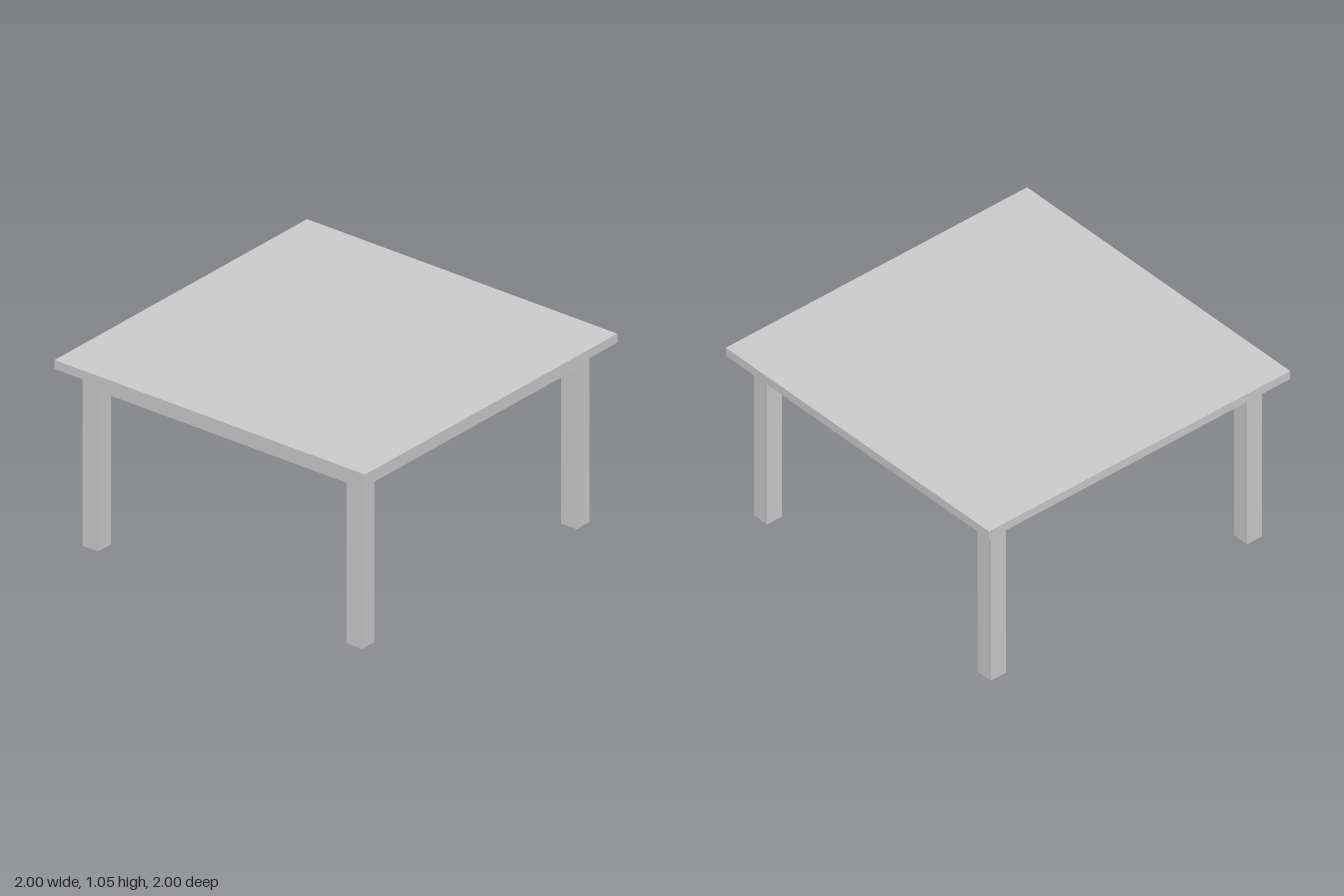
import * as THREE from 'three';

export function createModel() {
  const group = new THREE.Group();
  const material = new THREE.MeshStandardMaterial({ color: 0xcccccc, flatShading: true });

  const box = (name, size, position) => {
    const mesh = new THREE.Mesh(new THREE.BoxGeometry(...size), material);
    mesh.name = name;
    mesh.position.set(...position);
    group.add(mesh);
  };

  const legHeight = 1, thick = 0.1, offset = 0.85, apronHeight = 0.1;
  const span = 2 * offset - thick;
  const apronY = legHeight - apronHeight / 2;

  // Thin square top overhanging the frame
  box('tableTop', [2, 0.05, 2], [0, legHeight + 0.025, 0]);

  for (const s of [-1, 1]) {
    // Square legs at the four corners
    for (const x of [-1, 1]) {
      box(`${s > 0 ? 'front' : 'back'}${x > 0 ? 'Left' : 'Right'}Leg`,
        [thick, legHeight, thick], [x * offset, legHeight / 2, s * offset]);
    }
    // Aprons running flush between the legs
    box(s > 0 ? 'frontApron' : 'backApron', [span, apronHeight, thick], [0, apronY, s * offset]);
    box(s > 0 ? 'leftApron' : 'rightApron', [thick, apronHeight, span], [s * offset, apronY, 0]);
  }
  return group;
}
